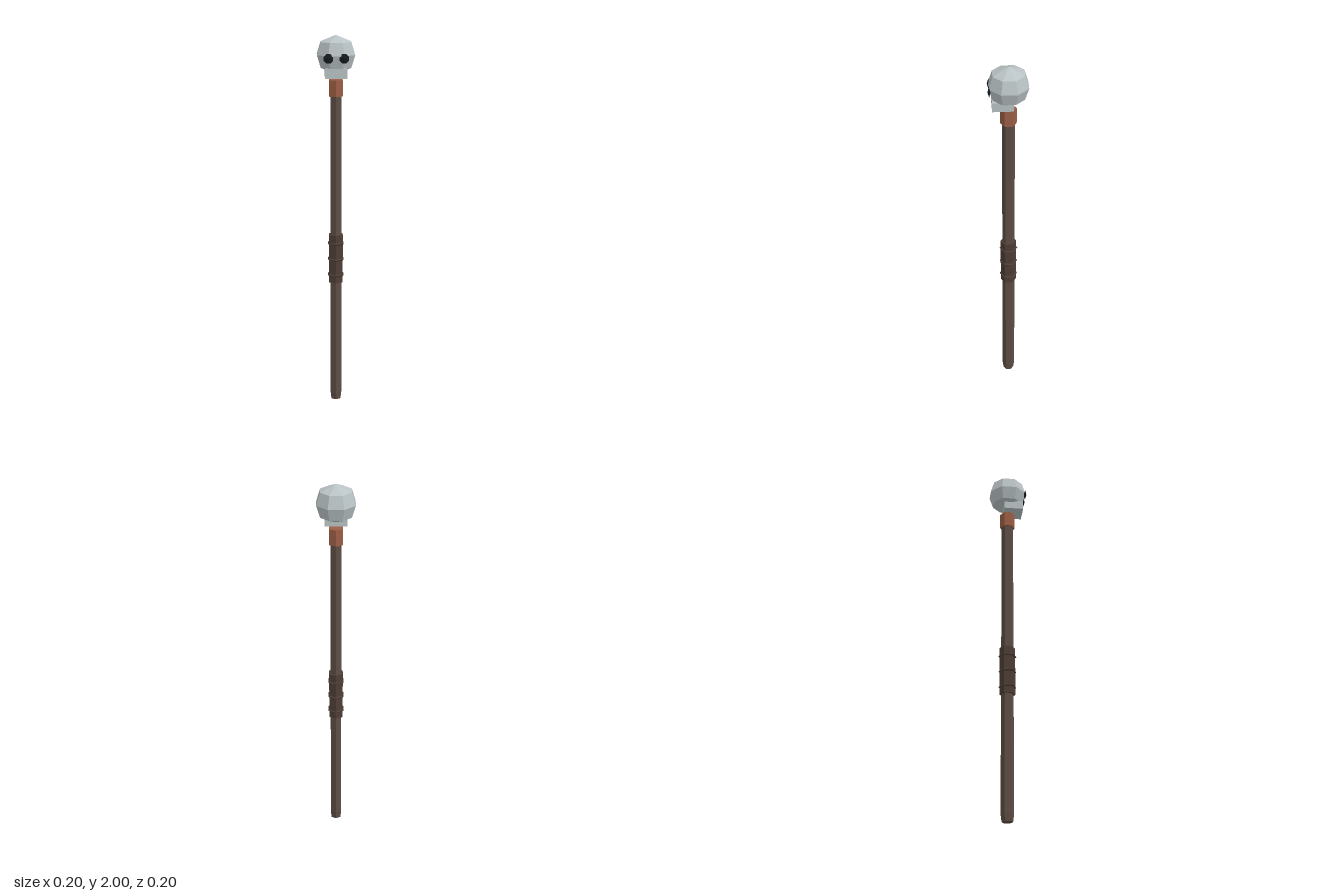
import * as THREE from 'three';

const material = (name, color) => {
  const m = new THREE.MeshStandardMaterial({ color });
  m.name = name;
  return m;
};

export function createModel() {
  const bone = material('pale bone', 0xb9c2c4);
  const dark = material('socket black', 0x161b1f);
  const wood = material('dark wood', 0x5c4d43);
  const leather = material('grip leather', 0x4d3e35);
  const copper = material('copper', 0x9c5e45);

  const staff = new THREE.Group();
  staff.name = 'skullStaff';
  staff.position.z = -0.004;

  // Adds a faceted part
  const add = (name, geometry, mat, x = 0, y = 0, z = 0) => {
    const flat = geometry.index ? geometry.toNonIndexed() : geometry;
    flat.computeVertexNormals();
    const mesh = new THREE.Mesh(flat, mat);
    mesh.name = name;
    mesh.position.set(x, y, z);
    staff.add(mesh);
    return mesh;
  };
  const lathe = (profile, sides, start = 0) => new THREE.LatheGeometry(
    profile.map(([r, y]) => new THREE.Vector2(r, y)), sides, start);

  // Six-sided shaft, slightly tapered, with a chamfered foot
  add('shaft', lathe([[0, 0], [0.029, 0], [0.034, 0.04], [0.032, 1.72], [0, 1.72]], 6), wood);

  // Leather grip with three raised bands
  add('grip', new THREE.CylinderGeometry(0.042, 0.042, 0.265, 6), leather, 0, 0.812, 0);
  for (const y of [0.72, 0.808, 0.896]) {
    const band = new THREE.TorusGeometry(0.042, 0.006, 4, 6);
    band.rotateZ(Math.PI / 6).rotateX(Math.PI / 2);
    add('gripBand', band, leather, 0, y, 0);
  }

  // Collar below the skull
  add('collar', new THREE.CylinderGeometry(0.041, 0.041, 0.085, 6), copper, 0, 1.728, 0);

  // Eight-sided cranium
  add('cranium', lathe(
    [[0, 1.8], [0.085, 1.835], [0.106, 1.9], [0.085, 1.965], [0, 2]], 8, Math.PI / 8), bone);

  // Jaw block
  add('jaw', new THREE.BoxGeometry(0.114, 0.05, 0.106), bone, 0, 1.81, 0.03);

  // Flattened, faceted eyes
  for (const side of [-1, 1]) {
    const eye = lathe([[0, -0.008], [0.026, 0], [0, 0.008]], 8, Math.PI / 8);
    eye.rotateX(Math.PI / 2);
    add(side > 0 ? 'leftEye' : 'rightEye', eye, dark, side * 0.04, 1.888, 0.096);
  }

  const model = new THREE.Group();
  model.name = 'model';
  model.add(staff);
  return model;
}
